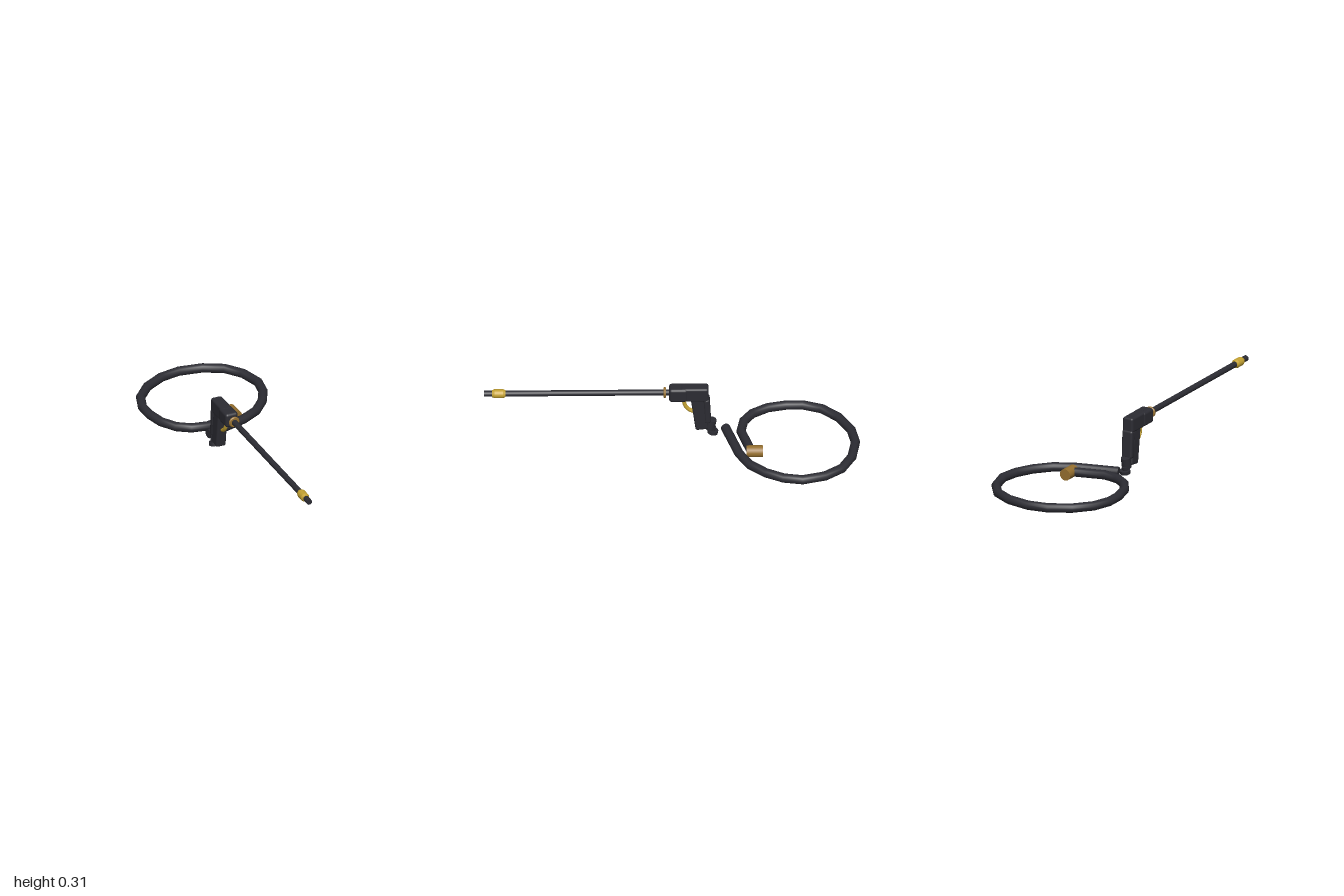
import * as THREE from 'three';
import { RoundedBoxGeometry } from 'three/addons/geometries/RoundedBoxGeometry.js';

const mat = (name, color) => {
  const m = new THREE.MeshStandardMaterial({ color });
  m.name = name;
  return m;
};

export function createModel() {
  const root = new THREE.Group();
  root.name = 'sprayGun';
  const black = mat('blackRubber', 0x2c2c33);
  const gold = mat('polishedBrass', 0xc4a232);
  const bronze = mat('agedBrass', 0x96702f);
  const X = -0.138, LANCE_Y = 0.273;

  const add = (parent, name, geo, m, x, y, z, rx = 0) => {
    const mesh = new THREE.Mesh(geo, m);
    mesh.name = name;
    mesh.position.set(x, y, z);
    mesh.rotation.x = rx;
    parent.add(mesh);
    return mesh;
  };
  const group = (name) => {
    const g = new THREE.Group();
    g.name = name;
    root.add(g);
    return g;
  };
  // solid of revolution about z, from [radius, z] pairs; doubled points keep edges sharp
  const turned = (pairs) => {
    const pts = pairs.flatMap(([r, z]) => [new THREE.Vector2(r, z), new THREE.Vector2(r, z)]);
    return new THREE.LatheGeometry(pts, 24).rotateX(Math.PI / 2);
  };

  // Lance
  const lance = group('lance');
  add(lance, 'lanceTube', turned([[0, 0.01], [0.016, 0.01], [0.016, 1], [0, 1]]), black, X, LANCE_Y, 0);
  add(lance, 'nozzleCollar',
    turned([[0, 0.885], [0.019, 0.885], [0.024, 0.898], [0.024, 0.944], [0.019, 0.957], [0, 0.957]]),
    gold, X, LANCE_Y, 0);
  add(lance, 'lanceRing',
    turned([[0, 0.031], [0.026, 0.031], [0.03, 0.035], [0.03, 0.04], [0.026, 0.044], [0, 0.044]]),
    bronze, X, LANCE_Y, 0);

  // Gun body
  const gun = group('gun');
  add(gun, 'headFront', new RoundedBoxGeometry(0.073, 0.081, 0.1, 3, 0.015), black, X, 0.27, -0.035);
  add(gun, 'headRear', new RoundedBoxGeometry(0.064, 0.083, 0.15, 3, 0.012), black, X, 0.27, -0.12);
  add(gun, 'grip', new RoundedBoxGeometry(0.058, 0.205, 0.07, 3, 0.012), black, X, 0.144, -0.148, 0.13);
  add(gun, 'gripBackplate', new RoundedBoxGeometry(0.065, 0.155, 0.034, 3, 0.012), black, X, 0.163, -0.188, 0.05);

  // Trigger
  const triggerPath = new THREE.CatmullRomCurve3([
    [0.235, -0.066], [0.205, -0.066], [0.178, -0.076], [0.156, -0.098], [0.145, -0.13],
  ].map(([y, z]) => new THREE.Vector3(X, y, z)));
  add(gun, 'trigger', new THREE.TubeGeometry(triggerPath, 24, 0.0105, 12), gold, 0, 0, 0);

  // Hose inlet under the grip, leaning backwards
  const inlet = group('inlet');
  add(inlet, 'inletSleeve', new THREE.CylinderGeometry(0.026, 0.026, 0.06, 24), black, X, 0.064, -0.207, -0.2);
  add(inlet, 'inletNeck', new THREE.CylinderGeometry(0.019, 0.019, 0.03, 20), black, X, 0.03, -0.214, -0.2);
  add(inlet, 'inletNut', new THREE.CylinderGeometry(0.028, 0.028, 0.02, 24), black, X, 0.0155, -0.218, -0.2);

  // Coiled hose: one ring of the tube at each point, [x, z]
  const hose = group('hose');
  const HOSE_Y = 0.037, HOSE_R = 0.025;
  const pts = [
    [-0.14, -0.285], [0.095, -0.355], [0.195, -0.41], [0.27, -0.495], [0.318, -0.59],
    [0.335, -0.69], [0.302, -0.81], [0.235, -0.9], [0.13, -0.955], [0, -0.975],
    [-0.112, -0.953], [-0.222, -0.89], [-0.302, -0.8], [-0.337, -0.7], [-0.337, -0.61],
    [-0.314, -0.51], [-0.262, -0.428], [-0.195, -0.383], [-0.105, -0.367], [0.068, -0.418],
  ].map(([x, z]) => new THREE.Vector3(x, HOSE_Y, z));
  const path = new THREE.CatmullRomCurve3(pts);
  path.getUtoTmapping = (u) => u;
  add(hose, 'hoseTube', new THREE.TubeGeometry(path, pts.length - 1, HOSE_R, 16), black, 0, 0, 0);
  // end caps
  for (const [end, dir] of [[0, -1], [1, 1]]) {
    const cap = add(hose, 'hoseCap', new THREE.CircleGeometry(HOSE_R, 16), black, 0, 0, 0);
    cap.position.copy(path.getPoint(end));
    cap.quaternion.setFromUnitVectors(new THREE.Vector3(0, 0, 1), path.getTangent(end).multiplyScalar(dir));
  }
  add(hose, 'hoseCoupling', new THREE.CylinderGeometry(0.032, 0.032, 0.086, 24), bronze,
    0.075, HOSE_Y, -0.438, Math.PI / 2);

  return root;
}
